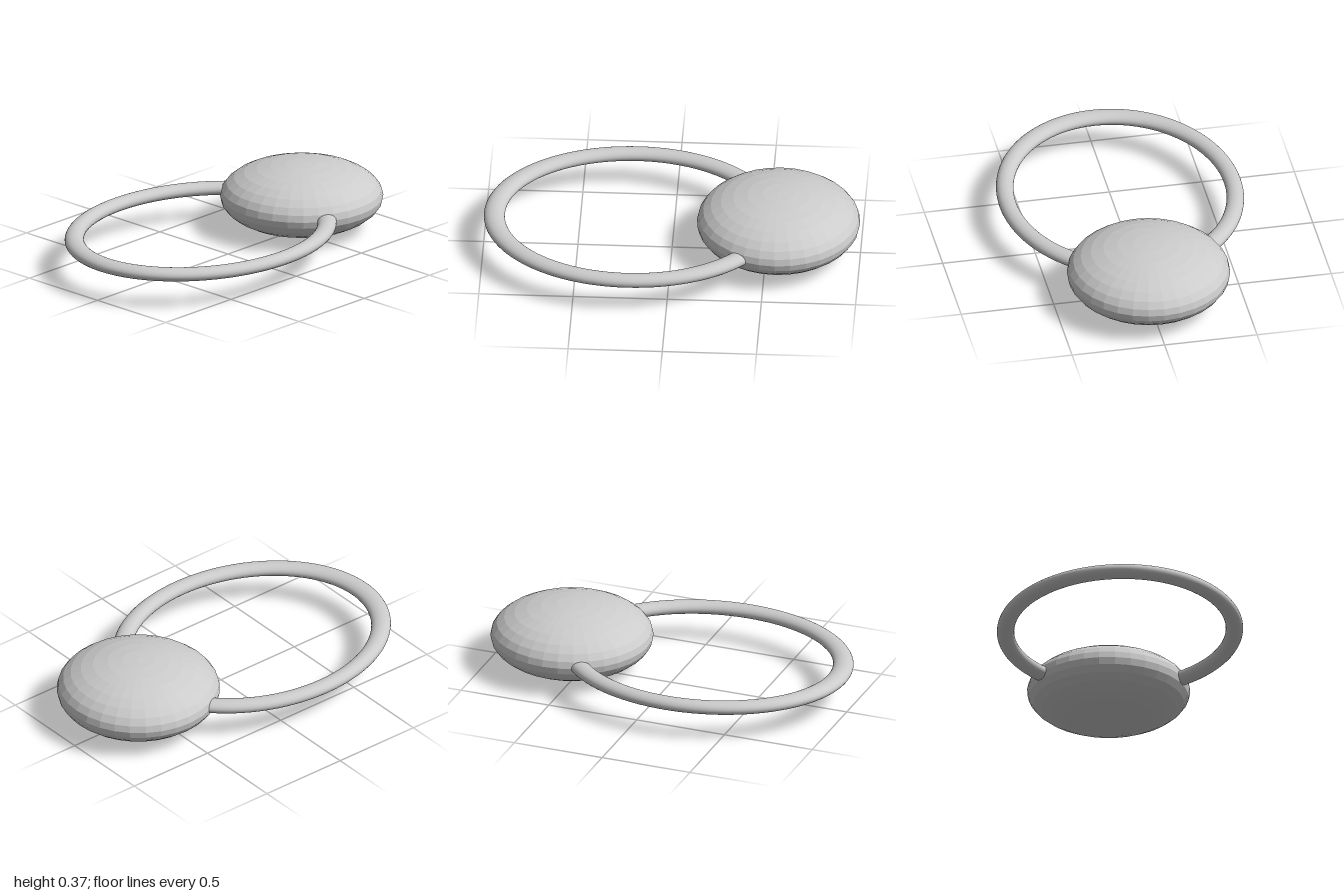
import * as THREE from 'three';

export function createModel() {
  const model = new THREE.Group();
  const y = 0.188; // shared mid-height of ring and bead

  // Oval ring lying flat, passing through the bead
  const ring = new THREE.Mesh(
    new THREE.TorusGeometry(0.606, 0.046, 24, 96).rotateX(Math.PI / 2).scale(1.21, 0.77, 1),
    new THREE.MeshStandardMaterial({ color: 0xcccccc })
  );
  ring.name = 'ring';
  ring.position.set(-0.21, y, 0);
  model.add(ring);

  // Faceted, flattened bead closing the ring
  const bead = new THREE.Mesh(
    new THREE.SphereGeometry(0.433, 32, 16).scale(1, 0.425, 1),
    new THREE.MeshStandardMaterial({ color: 0xcccccc, flatShading: true })
  );
  bead.name = 'bead';
  bead.position.set(0.565, y, 0);
  model.add(bead);

  return model;
}
